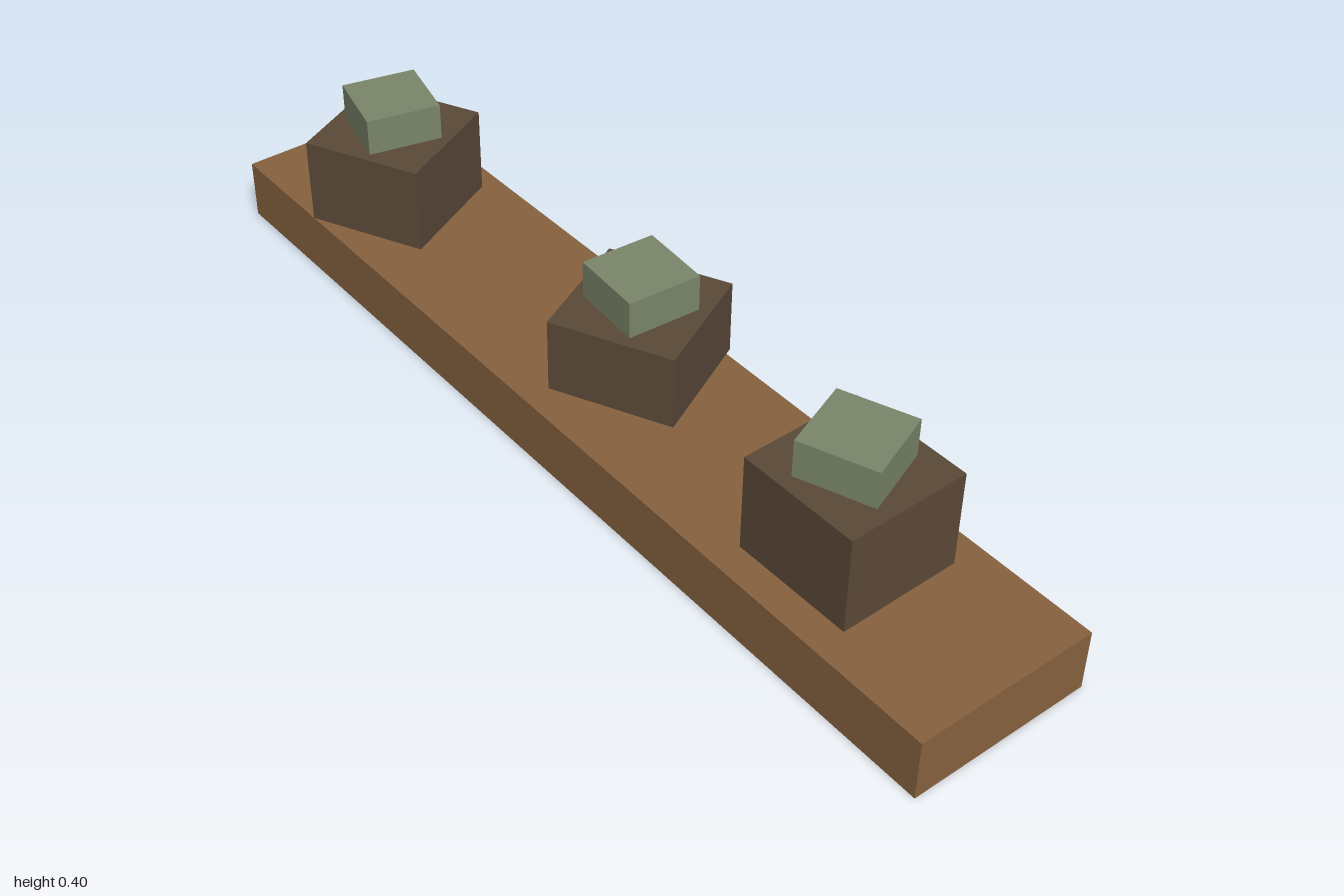
import * as THREE from 'three';

const material = (name, color) =>
  new THREE.MeshStandardMaterial({ name, color, side: THREE.DoubleSide });

// Box standing on y = 0 with its underside left open
function openBox(width, height, depth) {
  const geometry = new THREE.BoxGeometry(width, height, depth);
  const index = Array.from(geometry.index.array);
  index.splice(18, 6); // the -y face
  geometry.setIndex(index);
  geometry.clearGroups();
  geometry.translate(0, height / 2, 0);
  return geometry;
}

export function createModel() {
  const model = new THREE.Group();
  model.name = 'plankWithBlocks';

  const wood = material('wood brown', 0x87623f);
  const bark = material('dark brown', 0x5b4938);
  const moss = material('moss green', 0x7a866a);

  function addBox(name, mat, [w, h, d], [x, y, z], turn = 0) {
    const mesh = new THREE.Mesh(openBox(w, h, d), mat);
    mesh.name = name;
    mesh.position.set(x, y, z);
    mesh.rotation.y = turn;
    model.add(mesh);
  }

  // Long hollow plank
  const plankTop = 0.125;
  addBox('plank', wood, [2, plankTop, 0.375], [0, 0, 0.007]);

  // Turned blocks, each with a smaller cap
  const blocks = [
    { name: 'right', x: -0.692, z: 0.027, height: 0.179, turn: 0.456, capTurn: -0.235 },
    { name: 'middle', x: 0.037, z: -0.027, height: 0.152, turn: 0.456, capTurn: -0.07 },
    { name: 'left', x: 0.631, z: 0.007, height: 0.197, turn: 0.015, capTurn: 0.37 },
  ];
  for (const { name, x, z, height, turn, capTurn } of blocks) {
    addBox(name + 'Block', bark, [0.25, height, 0.25], [x, plankTop, z], turn);
    addBox(name + 'Cap', moss, [0.15, 0.075, 0.15], [x, plankTop + height, z], capTurn);
  }

  return model;
}
